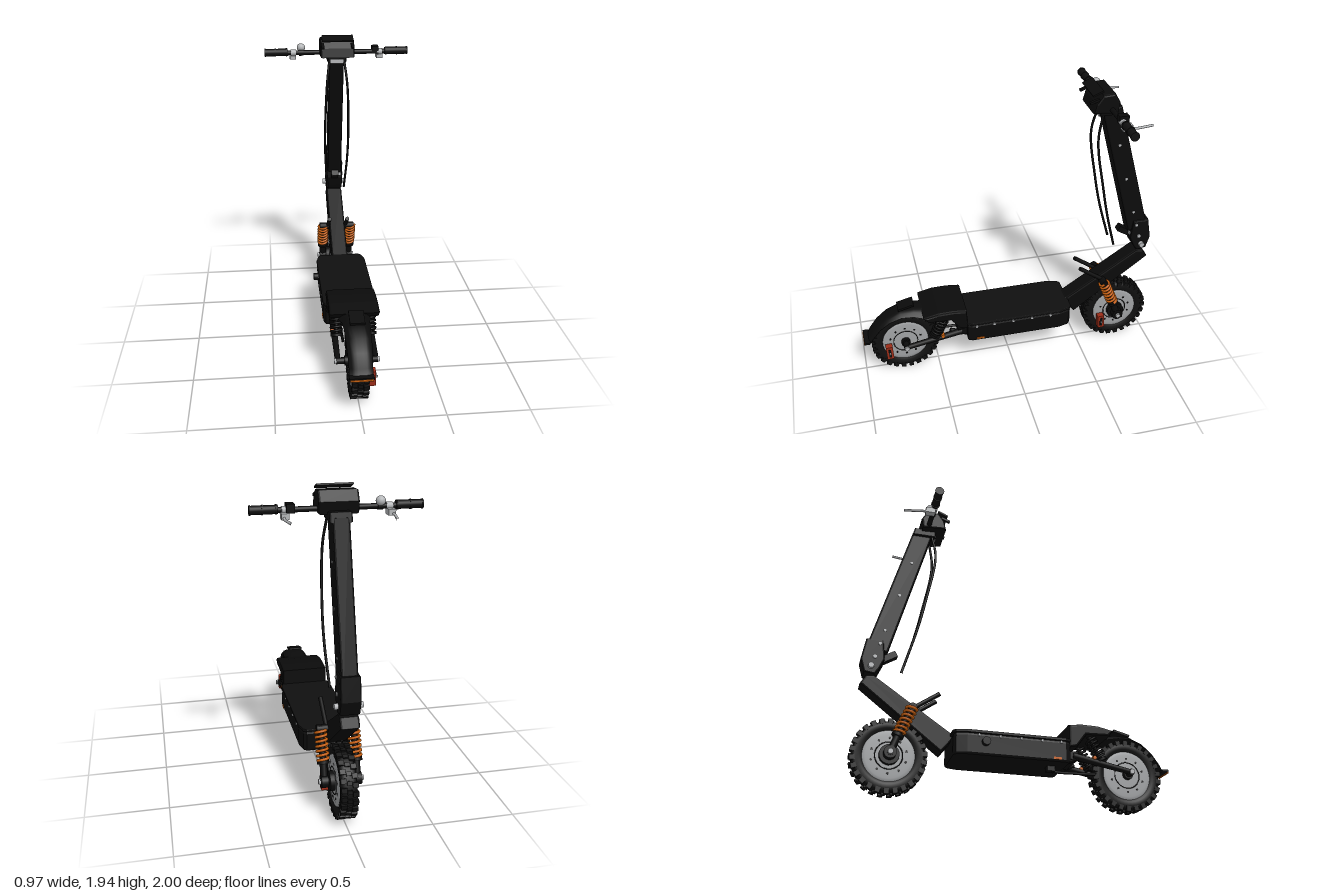
import * as THREE from 'three';

const mat = (name, color) => Object.assign(new THREE.MeshStandardMaterial({ color }), { name });

export function createModel() {
  const black = mat('black', 0x0b0b0b), rubber = mat('rubber', 0x101010);
  const silver = mat('silver', 0xb4b6b8), rimGrey = mat('rim grey', 0x9fa1a3);
  const orange = mat('orange', 0xc8600f), red = mat('red', 0x9c2d18);
  const shell = mat('fender black', 0x0b0b0b);
  shell.side = THREE.DoubleSide;

  const model = new THREE.Group();
  model.name = 'scooter';
  const V = (x, y, z) => new THREE.Vector3(x, y, z);
  const add = (name, geo, m, parent = model) => {
    const mesh = new THREE.Mesh(geo, m);
    mesh.name = name;
    parent.add(mesh);
    return mesh;
  };
  const box = (name, m, w, h, d, x, y, z, rx = 0, parent = model) => {
    const b = add(name, new THREE.BoxGeometry(w, h, d), m, parent);
    b.position.set(x, y, z);
    b.rotation.x = rx;
    return b;
  };
  // Cylinder between two points
  const rod = (name, m, a, b, r, r2 = r, seg = 16, parent = model) => {
    const c = add(name, new THREE.CylinderGeometry(r2, r, a.distanceTo(b), seg), m, parent);
    c.position.copy(a).lerp(b, 0.5);
    c.quaternion.setFromUnitVectors(V(0, 1, 0), b.clone().sub(a).normalize());
    return c;
  };
  const axle = (name, m, x0, x1, y, z, r, parent = model) => rod(name, m, V(x0, y, z), V(x1, y, z), r, r, 20, parent);
  const tube = (name, m, pts, r, n = 32) =>
    add(name, new THREE.TubeGeometry(new THREE.CatmullRomCurve3(pts), n, r, 8), m);
  const shapeOf = pts => new THREE.Shape(pts.map(p => new THREE.Vector2(p[0], p[1])));
  const extrude = (pts, depth, bevel) => new THREE.ExtrudeGeometry(shapeOf(pts), {
    depth: depth - 2 * bevel, bevelEnabled: bevel > 0, bevelThickness: bevel, bevelSize: bevel, bevelOffset: -bevel, bevelSegments: 2,
  }).translate(0, 0, -depth / 2 + bevel);
  // Side profile given as [z, y], extruded across x
  const sideExtrude = (name, m, pts, width, bevel = 0.01) => add(name, extrude(pts, width, bevel).rotateY(-Math.PI / 2), m);
  // Plan outline given as half-widths [x, z], mirrored and extruded in y
  const planExtrude = (name, m, half, y0, y1, bevel) => {
    const pts = [...half, ...half.map(p => [-p[0], p[1]]).reverse()];
    const mesh = add(name, extrude(pts, y1 - y0, bevel).rotateX(Math.PI / 2), m);
    mesh.position.y = (y0 + y1) / 2;
  };
  const spring = (name, m, a, b, r, wire, turns) => {
    const dir = b.clone().sub(a).normalize(), u = V(1, 0, 0), w = dir.clone().cross(u), pts = [];
    for (let i = 0; i <= turns * 12; i++) {
      const t = i / 12 * Math.PI * 2;
      pts.push(a.clone().lerp(b, i / (turns * 12)).addScaledVector(u, r * Math.cos(t)).addScaledVector(w, r * Math.sin(t)));
    }
    tube(name, m, pts, wire, turns * 16);
  };
  const sides = [-1, 1];

  // Wheels: tyre, tread blocks, rim discs with holes, hub
  const makeWheel = (name, z, hubR) => {
    const wheel = new THREE.Group();
    wheel.name = name;
    wheel.position.set(0, 0.228, z);
    model.add(wheel);
    const tyre = [[0.15, -0.036], [0.17, -0.048], [0.195, -0.05], [0.21, -0.042], [0.216, -0.02],
      [0.216, 0.02], [0.21, 0.042], [0.195, 0.05], [0.17, 0.048], [0.15, 0.036]];
    add('tyre', new THREE.LatheGeometry(tyre.map(p => new THREE.Vector2(...p)), 48).rotateZ(-Math.PI / 2), rubber, wheel);
    for (let i = 0; i < 26; i++) {
      for (const s of sides) {
        const g = new THREE.BoxGeometry(0.034, 0.032, 0.03).translate(s * 0.034, 0.211, 0);
        add('treadBlock', g.rotateX((i + (s > 0 ? 0.5 : 0)) / 26 * Math.PI * 2), rubber, wheel);
      }
      add('treadCentre', new THREE.BoxGeometry(0.03, 0.02, 0.024).translate(0, 0.216, 0).rotateX((i + 0.25) / 26 * Math.PI * 2), rubber, wheel);
    }
    const rim = [[0, -0.047], [0.12, -0.047], [0.135, -0.04], [0.153, -0.044], [0.158, -0.03],
      [0.158, 0.03], [0.153, 0.044], [0.135, 0.04], [0.12, 0.047], [0, 0.047]];
    add('rim', new THREE.LatheGeometry(rim.map(p => new THREE.Vector2(...p)), 48).rotateZ(-Math.PI / 2), rimGrey, wheel);
    for (const s of sides) {
      for (let i = 0; i < 10; i++) {
        const a = i / 10 * Math.PI * 2;
        axle('rimHole', black, s * 0.045, s * 0.049, 0.107 * Math.cos(a), 0.107 * Math.sin(a), 0.007, wheel);
      }
      const ring = add('rimRing', new THREE.TorusGeometry(0.082, 0.003, 6, 40).rotateY(Math.PI / 2), black, wheel);
      ring.position.x = s * 0.047;
      axle('hub', black, s * 0.04, s * 0.075, 0, 0, hubR, wheel);
      axle('axleEnd', black, s * 0.07, s * 0.125, 0, 0, 0.02, wheel);
      axle('axleNut', silver, s * 0.12, s * 0.137, 0, 0, 0.016, wheel);
    }
    return wheel;
  };
  makeWheel('frontWheel', -0.77, 0.06);
  makeWheel('rearWheel', 0.72, 0.03);

  // Brake calipers
  for (const [y, z] of [[0.165, -0.66], [0.182, 0.835]]) {
    box('caliper', red, 0.042, 0.1, 0.046, 0.077, y, z, 0.05);
    box('caliperSlot', black, 0.008, 0.065, 0.018, 0.097, y, z, 0.05);
    axle('caliperBolt', silver, 0.098, 0.112, y, z, 0.006);
  }

  // Deck
  planExtrude('deck', black, [[0.13, -0.41], [0.15, -0.395], [0.168, -0.33], [0.168, 0.28], [0.155, 0.31]], 0.235, 0.375, 0.018);
  planExtrude('deckMat', rubber, [[0.135, -0.415], [0.155, -0.395], [0.172, -0.33], [0.172, 0.28], [0.158, 0.312]], 0.372, 0.392, 0.005);
  for (const s of sides) {
    for (const z of [-0.26, -0.13, 0, 0.13, 0.25]) axle('deckScrew', silver, s * 0.165, s * 0.174, 0.362, z, 0.008);
    box('sideReflector', orange, 0.006, 0.014, 0.05, s * 0.169, 0.259, 0.225);
  }
  axle('chargePort', black, -0.165, -0.2, 0.32, -0.22, 0.025);

  // Rear housing above the swing arm
  sideExtrude('rearHousing', black, [[0.305, 0.34], [0.31, 0.49], [0.4, 0.5], [0.5, 0.498], [0.6, 0.475], [0.57, 0.435], [0.42, 0.43], [0.36, 0.35]], 0.31, 0.015);

  // Rear fender lofted from arched cross-sections [z, y, half width, skirt depth]
  const ribs = [[0.55, 0.472, 0.1, 0.05], [0.65, 0.485, 0.085, 0.035], [0.74, 0.483, 0.08, 0.03], [0.83, 0.445, 0.077, 0.025],
    [0.9, 0.385, 0.073, 0.022], [0.95, 0.315, 0.07, 0.02], [0.965, 0.275, 0.07, 0.012], [0.995, 0.268, 0.07, 0.006]];
  const cols = 9, pos = [], idx = [];
  ribs.forEach(([z, y, w, d], i) => {
    const dz = z - 0.72, dy = y - 0.228, l = Math.hypot(dz, dy);
    for (let j = 0; j < cols; j++) {
      const u = j / (cols - 1) * 2 - 1, drop = d * u ** 4;
      pos.push(w * u, y - dy / l * drop, z - dz / l * drop);
      if (i && j) {
        const k = i * cols + j;
        idx.push(k - cols - 1, k - 1, k, k - cols - 1, k, k - cols);
      }
    }
  });
  const fender = new THREE.BufferGeometry();
  fender.setAttribute('position', new THREE.Float32BufferAttribute(pos, 3));
  fender.setIndex(idx);
  fender.computeVertexNormals();
  add('rearFender', fender, shell);
  box('fenderFlap', black, 0.09, 0.014, 0.11, 0, 0.505, 0.7, 0.25);
  box('fenderTail', black, 0.145, 0.014, 0.04, 0, 0.272, 0.975);
  box('tailReflector', orange, 0.135, 0.012, 0.008, 0, 0.265, 0.994);

  // Swing arms, rear springs
  for (const s of sides) {
    rod('swingArm', black, V(s * 0.115, 0.228, 0.72), V(s * 0.115, 0.3, 0.34), 0.017, 0.022);
    const top = V(s * 0.105, 0.44, 0.45), low = V(s * 0.105, 0.285, 0.53);
    rod('rearDamper', black, low, top, 0.014);
    spring('rearSpring', black, top.clone().lerp(low, 0.1), low.clone().lerp(top, 0.1), 0.034, 0.0075, 6);
    rod('rearSpringSeat', black, low, low.clone().lerp(top, 0.1), 0.038);
    axle('rearSpringBolt', orange, s * 0.1, s * 0.14, 0.295, 0.475, 0.012);
    rod('rearLink', black, V(s * 0.1, 0.26, 0.3), V(s * 0.1, 0.31, 0.42), 0.015);
  }
  box('swingArmBridge', black, 0.25, 0.05, 0.06, 0, 0.3, 0.34);

  // Kickstand folded under the deck
  tube('kickstand', black, [V(-0.06, 0.235, 0.19), V(-0.06, 0.212, 0.22), V(-0.06, 0.208, 0.38), V(-0.06, 0.212, 0.5)], 0.009);
  box('kickstandMount', black, 0.05, 0.04, 0.05, -0.06, 0.225, 0.21);

  // Sloped neck rising from the deck to the folding joint
  sideExtrude('neck', black, [[-0.375, 0.385], [-0.405, 0.395], [-0.89, 0.72], [-0.94, 0.715], [-0.973, 0.66], [-0.465, 0.27]], 0.115, 0.012);

  // Front suspension: crown, stays, springs and fork legs
  rod('forkCrown', black, V(-0.125, 0.515, -0.655), V(0.125, 0.515, -0.655), 0.025);
  for (const s of sides) {
    const top = V(s * 0.1, 0.53, -0.65), low = V(s * 0.1, 0.345, -0.728);
    rod('frontDamper', black, low, top, 0.02);
    spring('frontSpring', orange, top.clone().lerp(low, 0.05), low, 0.032, 0.009, 7);
    rod('springSeat', black, low, low.clone().lerp(top, -0.1), 0.037);
    rod('forkLeg', black, V(s * 0.1, 0.228, -0.77), low, 0.022);
    axle('forkFoot', black, s * 0.08, s * 0.122, 0.228, -0.77, 0.038);
    rod('frontStay', black, V(s * 0.064, 0.637, -0.49), V(s * 0.064, 0.515, -0.665), 0.014);
  }

  // Folding joint with bolts and latch lever
  sideExtrude('foldingJoint', black, [[-0.865, 0.76], [-0.835, 0.83], [-0.85, 0.96], [-0.955, 0.96], [-0.98, 0.82], [-0.955, 0.735], [-0.89, 0.725]], 0.12, 0.01);
  box('latchLever', black, 0.05, 0.04, 0.11, 0, 0.865, -0.81, -0.55);
  for (const s of sides) {
    axle('jointBolt', silver, s * 0.055, s * 0.083, 0.775, -0.915, 0.018);
    axle('jointPin', silver, s * 0.055, s * 0.066, 0.84, -0.895, 0.012);
    axle('jointPin', silver, s * 0.055, s * 0.066, 0.93, -0.87, 0.01);
  }
  box('jointPlate', silver, 0.025, 0.02, 0.008, 0.035, 0.86, -0.835);

  // Stem
  sideExtrude('stem', black, [[-0.58, 1.78], [-0.71, 1.78], [-0.955, 0.9], [-0.82, 0.88]], 0.1, 0.012);
  for (const s of sides)
    for (const [y, z] of [[1.54, -0.707], [1.29, -0.772], [1.03, -0.845]]) axle('stemScrew', silver, s * 0.047, s * 0.053, y, z, 0.009);

  // Display head
  sideExtrude('stemClamp', black, [[-0.56, 1.755], [-0.56, 1.81], [-0.7, 1.81], [-0.715, 1.755]], 0.13);
  sideExtrude('displayHousing', black, [[-0.5, 1.8], [-0.515, 1.86], [-0.555, 1.915], [-0.63, 1.92], [-0.665, 1.86], [-0.655, 1.79]], 0.23, 0.012);
  box('displayVisor', black, 0.21, 0.01, 0.07, 0, 1.925, -0.525, 0.4);
  for (const s of sides) box('displayFin', black, 0.02, 0.014, 0.06, s * 0.1, 1.878, -0.505, 0.35);
  box('clampPlate', silver, 0.09, 0.028, 0.006, 0, 1.765, -0.56);

  // Handlebar with grips, brake levers, bell and throttle
  axle('handlebar', black, -0.46, 0.46, 1.818, -0.615, 0.016);
  for (const s of sides) {
    axle('grip', rubber, s * 0.33, s * 0.485, 1.822, -0.615, 0.025);
    for (const x of [0.335, 0.41, 0.478]) axle('gripRing', rubber, s * x, s * (x + 0.008), 1.822, -0.615, 0.028);
    axle('leverClamp', silver, s * 0.275, s * 0.31, 1.818, -0.615, 0.021);
    box('leverMount', silver, 0.042, 0.035, 0.06, s * 0.296, 1.79, -0.64);
    tube('brakeLever', silver, [V(s * 0.3, 1.785, -0.64), V(s * 0.305, 1.78, -0.69), V(s * 0.295, 1.778, -0.75), V(s * 0.285, 1.778, -0.805)], 0.008, 16);
  }
  add('bell', new THREE.SphereGeometry(0.028, 20, 14), silver).position.set(-0.24, 1.85, -0.63);
  axle('bellClamp', black, -0.255, -0.225, 1.818, -0.615, 0.021);
  box('throttle', black, 0.045, 0.05, 0.06, 0.265, 1.83, -0.625);

  // Cables hanging beside the stem
  for (const s of sides)
    tube('cable', black, [V(s * 0.05, 1.77, -0.585), V(s * 0.07, 1.6, -0.556), V(s * 0.082, 1.26, -0.607), V(s * 0.078, 1.05, -0.65), V(s * 0.06, 0.8, -0.717)], 0.008);

  return model;
}
